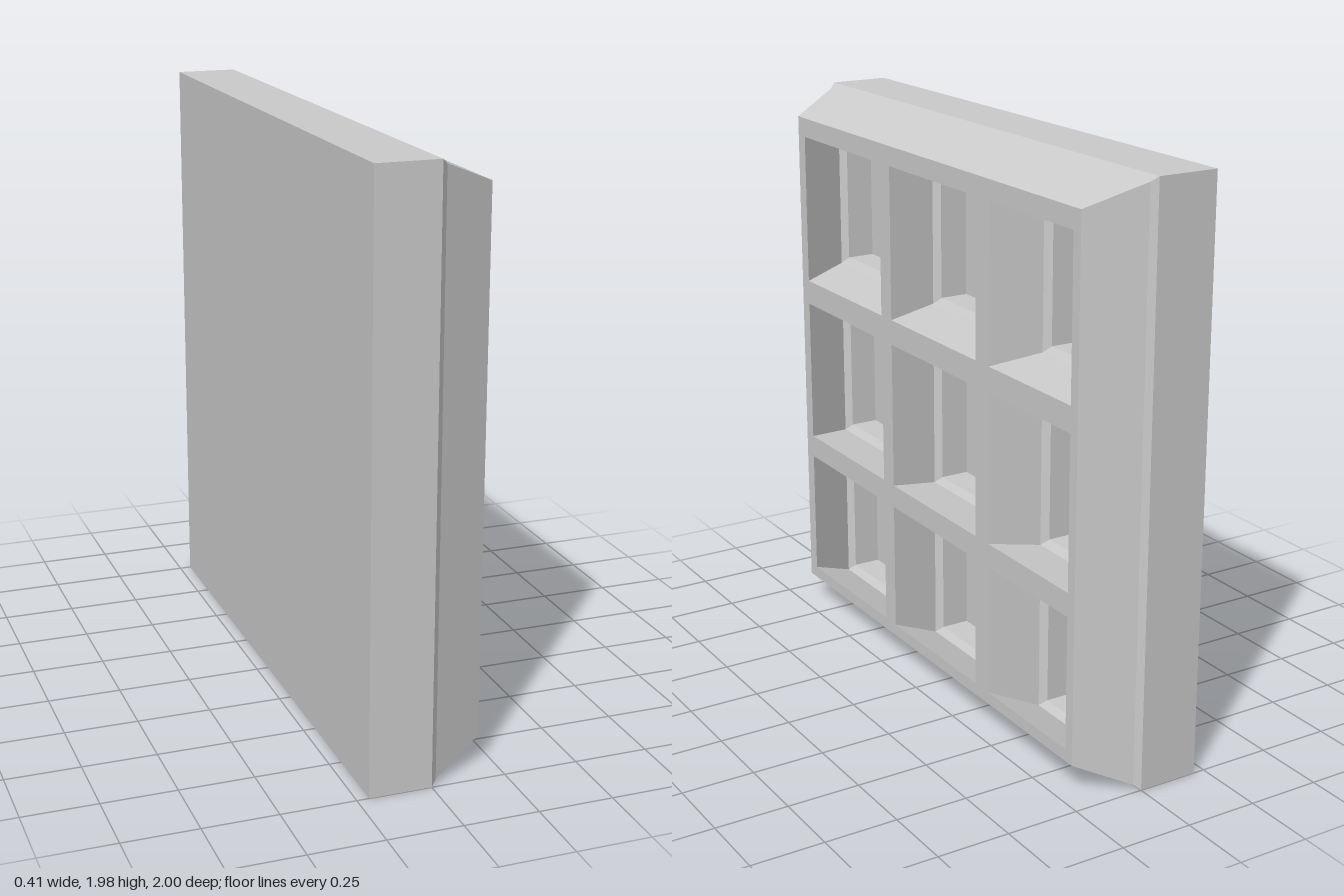
import * as THREE from 'three';

const FACE_X = 0.2, STEP_X = 0.02, BASE_X = 0, FLOOR_X = -0.1, BACK_X = -0.21;
const MID_Y = 0.99;
const TAPER = 1.094;   // widening of every outline from the face down to the step
const INSET = 0.023;   // width of the bevelled ledge inside each pocket

// Rectangle in the z-y plane at depth x, counter-clockwise seen from +x
const ring = (x, z0, z1, y0, y1) => [[x, y0, z1], [x, y0, z0], [x, y1, z0], [x, y1, z1]];

// Flat-sided skin through successive rectangles, with optional end caps
function loft(rings, { capStart = false, capEnd = false }) {
  const pos = [];
  const quad = (a, b, c, d) => pos.push(...a, ...b, ...c, ...a, ...c, ...d);
  for (let r = 0; r < rings.length - 1; r++) {
    const a = rings[r], b = rings[r + 1];
    for (let i = 0; i < 4; i++) {
      const j = (i + 1) % 4;
      quad(a[i], a[j], b[j], b[i]);
    }
  }
  if (capStart) quad(...[...rings[0]].reverse());
  if (capEnd) quad(...rings[rings.length - 1]);
  const geo = new THREE.BufferGeometry();
  geo.setAttribute('position', new THREE.Float32BufferAttribute(pos, 3));
  geo.computeVertexNormals();
  return geo;
}

// Rectangular outline for the face plate (shape x runs along -z)
function outline(Type, z0, z1, y0, y1) {
  return new Type([[-z1, y0], [-z0, y0], [-z0, y1], [-z1, y1]].map(p => new THREE.Vector2(...p)));
}

export function createModel() {
  const group = new THREE.Group();
  const material = new THREE.MeshStandardMaterial({ color: 0xcccccc, flatShading: true });
  const add = (name, geo) => {
    const mesh = new THREE.Mesh(geo, material);
    mesh.name = name;
    group.add(mesh);
  };

  // Backing slab, narrow bevel and tapered front frame
  add('outerShell', loft([
    ring(BACK_X, -1, 1, 0, 1.98),
    ring(BASE_X, -1, 1, 0, 1.98),
    ring(STEP_X, -0.983, 0.983, 0.017, 1.963),
    ring(FACE_X, -0.9, 0.9, 0.098, 1.888),
  ], { capStart: true }));

  // Lattice face with nine openings, and the stepped pocket behind each
  const columns = [[0.3, 0.852], [-0.32, 0.23], [-0.862, -0.4]];
  const rows = [[0.14, 0.597], [0.678, 1.197], [1.285, 1.82]];
  const face = outline(THREE.Shape, -0.9, 0.9, 0.098, 1.888);
  const widen = y => MID_Y + (y - MID_Y) * TAPER;
  for (const [z0, z1] of columns) {
    for (const [y0, y1] of rows) {
      face.holes.push(outline(THREE.Path, z0, z1, y0, y1));
      const [a, b, c, d] = [z0 * TAPER, z1 * TAPER, widen(y0), widen(y1)];
      const inner = [a + INSET, b - INSET, c + INSET, d - INSET];
      add('pocket', loft([
        ring(FACE_X, z0, z1, y0, y1),
        ring(STEP_X, a, b, c, d),
        ring(BASE_X, ...inner),
        ring(FLOOR_X, ...inner),
      ], { capEnd: true }));
    }
  }
  add('latticeFace', new THREE.ShapeGeometry(face).rotateY(Math.PI / 2).translate(FACE_X, 0, 0));

  return group;
}
